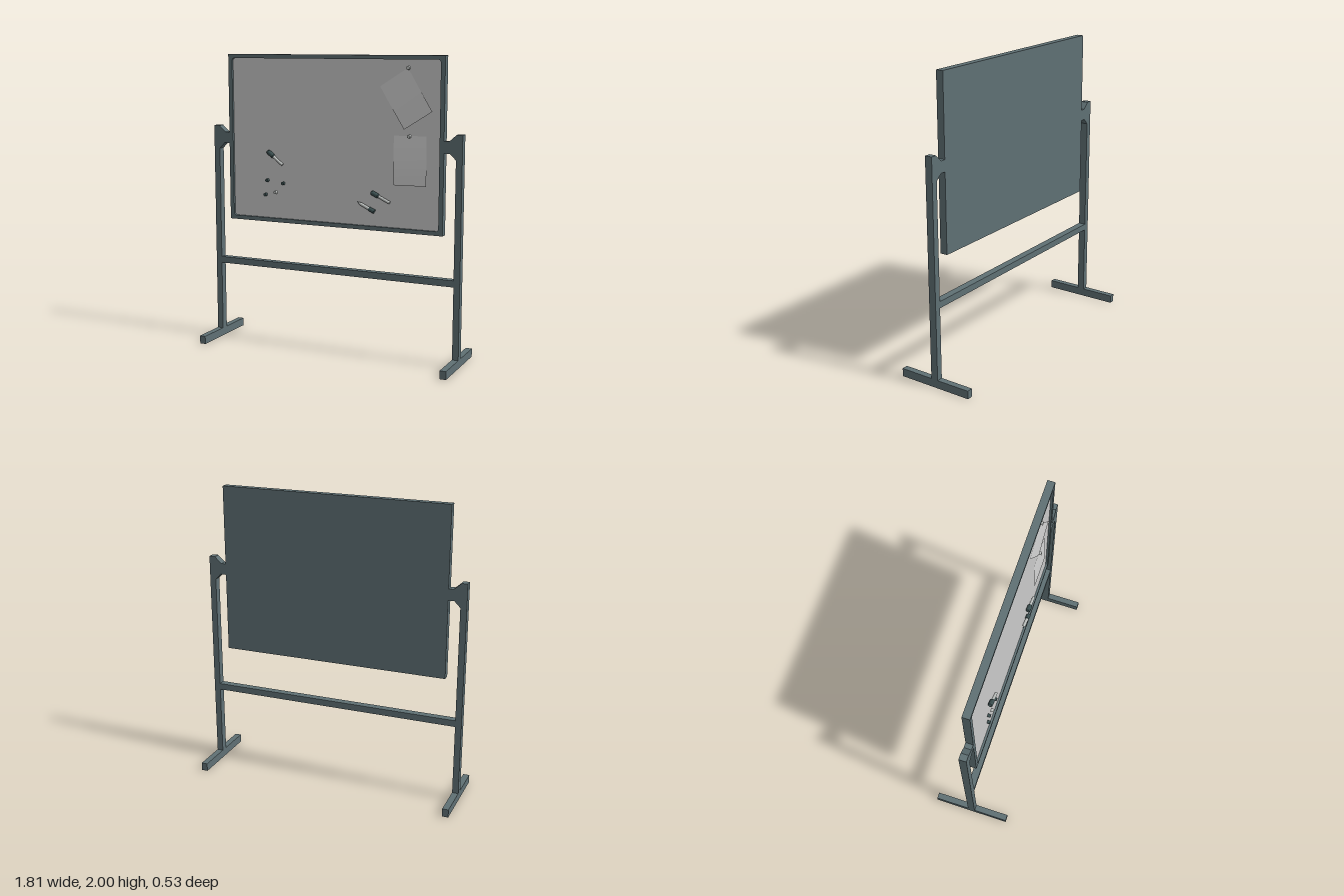
import * as THREE from 'three';

const mat = (name, color, side = THREE.FrontSide) => {
  const m = new THREE.MeshStandardMaterial({ color, side });
  m.name = name;
  return m;
};

export function createModel() {
  const steel = mat('slate steel', 0x5f7074);
  const white = mat('board grey', 0xcacaca);
  const paper = mat('paper', 0xd2d2d2, THREE.DoubleSide);
  const dark = mat('dark plastic', 0x3b4f50);
  const light = mat('light plastic', 0xc0c4c2);

  const root = new THREE.Group();
  root.name = 'whiteboardStand';
  const add = (name, geo, m, x = 0, y = 0, z = 0, parent = root) => {
    const mesh = new THREE.Mesh(geo, m);
    mesh.name = name;
    mesh.position.set(x, y, z);
    parent.add(mesh);
    return mesh;
  };
  const extrude = (shape, depth) =>
    new THREE.ExtrudeGeometry(shape, { depth, bevelEnabled: false, curveSegments: 6 });

  // Board: back panel, writing surface and raised rim with rounded inner corners
  const W = 1.564, H = 1.14, CY = 1.43, FACE = 0.01;
  add('backPanel', new THREE.BoxGeometry(W, H, 0.03), steel, 0, CY, -0.01);
  add('writingSurface', new THREE.BoxGeometry(W - 0.05, H - 0.04, 0.005), white, 0, CY, 0.0075);
  const rim = new THREE.Shape();
  rim.moveTo(-W / 2, -H / 2).lineTo(W / 2, -H / 2).lineTo(W / 2, H / 2).lineTo(-W / 2, H / 2).closePath();
  const hx = W / 2 - 0.029, hy = H / 2 - 0.027, r = 0.018;
  const hole = new THREE.Path();
  hole.absarc(hx - r, hy - r, r, 0, Math.PI / 2);
  hole.absarc(-hx + r, hy - r, r, Math.PI / 2, Math.PI);
  hole.absarc(-hx + r, -hy + r, r, Math.PI, Math.PI * 1.5);
  hole.absarc(hx - r, -hy + r, r, Math.PI * 1.5, Math.PI * 2);
  hole.closePath();
  rim.holes.push(hole);
  add('boardRim', extrude(rim, 0.02), steel, 0, CY, 0.005);

  // Stand: feet, posts, pivot brackets and cross bar
  for (const s of [1, -1]) {
    const side = s > 0 ? 'left' : 'right';
    add(side + 'Foot', new THREE.BoxGeometry(0.042, 0.055, 0.526), steel, s * 0.883, 0.0275, 0);
    add(side + 'Post', new THREE.BoxGeometry(0.042, 1.455, 0.05), steel, s * 0.883, 0.7825, 0);
    const pts = [[0.862, 1.35], [0.862, 1.508], [0.815, 1.466], [0.782, 1.466], [0.782, 1.39], [0.822, 1.39]];
    const bracket = new THREE.Shape(pts.map(([x, y]) => new THREE.Vector2(s * x, y)));
    add(side + 'Bracket', extrude(bracket, 0.05), steel, 0, 0, -0.025);
  }
  add('crossBar', new THREE.BoxGeometry(1.724, 0.044, 0.05), steel, 0, 0.557, 0);

  // Paper sheets, curling gently off the board towards the bottom
  const sheet = (name, x, y, angle) => {
    const h = 0.32;
    const geo = new THREE.PlaneGeometry(0.224, h, 1, 10);
    const p = geo.attributes.position;
    for (let i = 0; i < p.count; i++) {
      const t = 0.5 - p.getY(i) / h;
      p.setZ(i, 0.002 + 0.009 * Math.sin(t * Math.PI * 0.5));
    }
    geo.computeVertexNormals();
    add(name, geo, paper, x, y, FACE).rotation.z = angle;
  };
  sheet('tiltedSheet', 0.52, 1.725, 0.56);
  sheet('straightSheet', 0.552, 1.33, 0.015);

  // Round magnets
  const magnetGeo = new THREE.CylinderGeometry(0.011, 0.012, 0.02, 16).rotateX(Math.PI / 2);
  const magnets = [
    [-0.49, 1.145, dark], [-0.368, 1.13, dark], [-0.505, 1.045, dark],
    [-0.427, 1.065, light], [0.535, 1.92, light], [0.545, 1.487, light],
  ];
  magnets.forEach(([x, y, m], i) => add('magnet' + (i + 1), magnetGeo, m, x, y, FACE + 0.01));

  // Markers lie along their local x axis, from the cap end outwards
  const rod = (r0, r1, len) => new THREE.CylinderGeometry(r1, r0, len, 12).rotateZ(-Math.PI / 2);
  const marker = (name, x, y, angle, open) => {
    const g = new THREE.Group();
    g.name = name;
    g.position.set(x, y, FACE + 0.016);
    g.rotation.z = angle;
    root.add(g);
    if (open) {
      add('endGrip', rod(0.015, 0.014, 0.04), dark, 0.02, 0, 0, g);
      add('barrel', rod(0.011, 0.011, 0.065), light, 0.0725, 0, 0, g);
      add('neck', rod(0.011, 0.004, 0.02), light, 0.115, 0, 0, g);
      add('nib', rod(0.004, 0.002, 0.01), dark, 0.13, 0, 0, g);
    } else {
      add('capEnd', rod(0.011, 0.016, 0.008), dark, 0.004, 0, 0, g);
      add('cap', rod(0.016, 0.016, 0.044), dark, 0.03, 0, 0, g);
      add('capLip', rod(0.016, 0.012, 0.006), dark, 0.055, 0, 0, g);
      add('barrel', rod(0.01, 0.01, 0.086), light, 0.101, 0, 0, g);
    }
  };
  marker('upperMarker', -0.481, 1.347, -0.66, false);
  marker('lowerMarker', 0.288, 1.113, -0.44, false);
  marker('openMarker', 0.31, 0.986, Math.PI - 0.44, true);

  return root;
}
